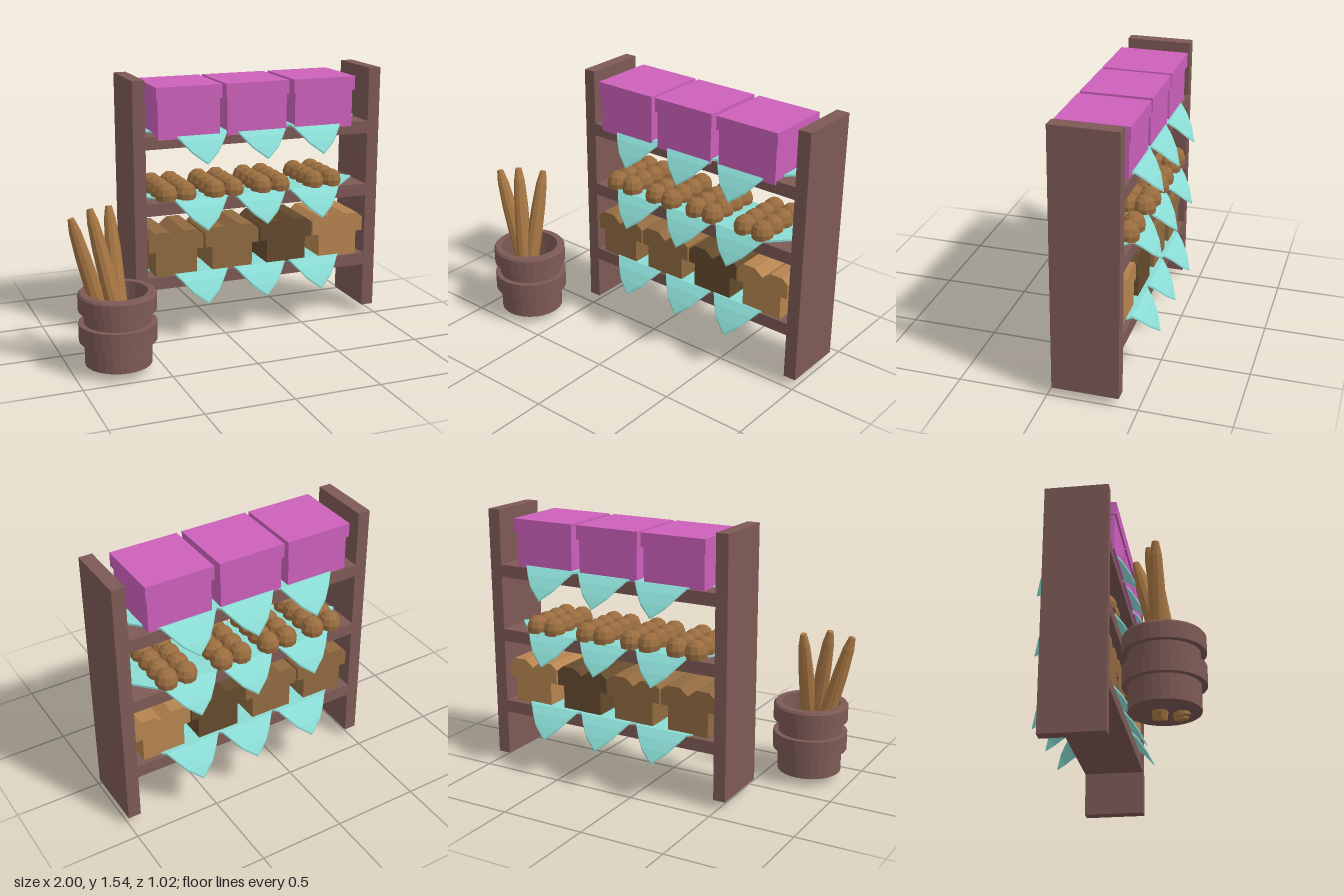
import * as THREE from 'three';

const mat = (color, side = THREE.FrontSide) =>
  new THREE.MeshStandardMaterial({ color, side, flatShading: true });
const WOOD = mat(0x7d5955);
const PINK = mat(0xcc60bb);
const CLOTH = mat(0x8adcd5, THREE.DoubleSide);
const BREAD = mat(0x9a6d3f);
const LOAF = mat(0xa87743);

const MID_Z = -0.21;

function add(parent, name, geometry, material, x = 0, y = 0, z = 0) {
  const mesh = new THREE.Mesh(geometry, material);
  mesh.name = name;
  mesh.position.set(x, y, z);
  parent.add(mesh);
  return mesh;
}

// Box given by its limits on each axis
function addBox(parent, name, material, [x0, x1], [y0, y1], [z0, z1]) {
  return add(parent, name, new THREE.BoxGeometry(x1 - x0, y1 - y0, z1 - z0), material,
    (x0 + x1) / 2, (y0 + y1) / 2, (z0 + z1) / 2);
}

const lathe = (points, segments) =>
  new THREE.LatheGeometry(points.map(([r, y]) => new THREE.Vector2(r, y)), segments);

// Diamond cloth whose front and back corners curve down over the shelf edges;
// rows run from back to front: z offset, drop, half width
function clothGeometry() {
  const half = [[0, 0, 0.335], [0.185, 0, 0.16], [0.225, -0.04, 0.125], [0.265, -0.095, 0.078], [0.3, -0.155, 0]];
  const rows = [...half.slice(1).reverse().map(([z, y, w]) => [-z, y, w]), ...half];
  const positions = [];
  const index = [];
  const t = 0.012;
  rows.forEach(([z, y, w], i) => {
    positions.push(-w, y, z, w, y, z, w, y - t, z, -w, y - t, z);
    if (i === 0) return;
    for (let k = 0; k < 4; k++) {
      const a = (i - 1) * 4 + k, b = (i - 1) * 4 + (k + 1) % 4;
      index.push(a, a + 4, b, b, a + 4, b + 4);
    }
  });
  const g = new THREE.BufferGeometry();
  g.setAttribute('position', new THREE.Float32BufferAttribute(positions, 3));
  g.setIndex(index);
  g.computeVertexNormals();
  return g;
}

// Shirt outline with sleeves and a V neck, extruded through the shelf depth
function shirtGeometry() {
  const right = [[0.125, 0], [0.125, 0.145], [0.167, 0.145], [0.167, 0.23], [0.13, 0.262], [0.052, 0.262]];
  const left = right.map(([x, y]) => [-x, y]).reverse();
  const outline = [...right, [0, 0.22], ...left].map(([x, y]) => new THREE.Vector2(x, y));
  const g = new THREE.ExtrudeGeometry(new THREE.Shape(outline), { depth: 0.335, bevelEnabled: false });
  g.translate(0, 0, -0.1675);
  return g;
}

function createShelfUnit() {
  const unit = new THREE.Group();
  unit.name = 'shelfUnit';
  const depth = [-0.395, -0.025];
  addBox(unit, 'rightPanel', WOOD, [-0.542, -0.47], [0.05, 1.54], depth);
  addBox(unit, 'leftPanel', WOOD, [0.925, 1], [0.05, 1.54], depth);

  const cloth = clothGeometry();
  for (const top of [0.39, 0.833, 1.22]) {
    addBox(unit, 'shelf', WOOD, [-0.47, 0.925], [top - 0.073, top], depth);
    [-0.14, 0.23, 0.583].forEach((x, i) =>
      add(unit, 'cloth', cloth, CLOTH, x, top + 0.009 + i * 0.002, MID_Z));
  }
  return unit;
}

function createGoods() {
  const goods = new THREE.Group();
  goods.name = 'goods';

  // Lidded boxes on the top shelf
  for (const x of [-0.215, 0.2, 0.624]) {
    addBox(goods, 'boxBody', PINK, [x - 0.185, x + 0.185], [1.2, 1.42], [-0.385, -0.012]);
    addBox(goods, 'boxLid', PINK, [x - 0.196, x + 0.196], [1.42, 1.5], [-0.397, 0]);
  }

  // Batches of buns, two across and four deep
  const bun = lathe([[0, 0], [0.06, 0], [0.065, 0.035], [0.052, 0.072], [0.028, 0.093], [0, 0.098]], 10);
  for (const x of [-0.28, 0.015, 0.31, 0.648]) {
    for (const dx of [-0.058, 0.058]) {
      for (let row = 0; row < 4; row++) add(goods, 'bun', bun, BREAD, x + dx, 0.838, -0.07 - row * 0.095);
    }
  }

  // Shirts on the bottom shelf
  const shirt = shirtGeometry();
  const colors = [0x906a40, 0x906a40, 0x644a2d, 0xb68450];
  [-0.293, 0.055, 0.402, 0.745].forEach((x, i) =>
    add(goods, 'shirt', shirt, mat(colors[i]), x, 0.393, -0.2));
  return goods;
}

function createPot() {
  const pot = new THREE.Group();
  pot.name = 'loafPot';
  // Banded pot with a hollow inside
  add(pot, 'pot', lathe([
    [0, 0.05], [0.185, 0.05], [0.185, 0.185], [0.215, 0.185], [0.215, 0.287], [0.185, 0.287],
    [0.185, 0.36], [0.215, 0.36], [0.215, 0.447], [0.205, 0.46], [0.168, 0.46], [0.165, 0.1], [0, 0.1],
  ], 28), WOOD, -0.745, 0, 0.297);

  // Long loaves leaning in the pot: bottom and tip
  const up = new THREE.Vector3(0, 1, 0);
  const loaves = [
    [[-0.745, 0.01, 0.272], [-0.982, 0.882, 0.285]],
    [[-0.7, 0.025, 0.375], [-0.868, 0.913, 0.238]],
    [[-0.73, 0.03, 0.385], [-0.742, 0.9, 0.155]],
  ];
  for (const [from, to] of loaves) {
    const a = new THREE.Vector3(...from);
    const dir = new THREE.Vector3(...to).sub(a);
    const h = dir.length();
    const loaf = add(pot, 'loaf', lathe([
      [0, 0], [0.036, 0], [0.043, 0.05 * h], [0.046, 0.5 * h], [0.042, 0.75 * h],
      [0.032, 0.92 * h], [0.018, h], [0, h],
    ], 10), LOAF, ...from);
    loaf.quaternion.setFromUnitVectors(up, dir.normalize());
  }
  return pot;
}

export function createModel() {
  const model = new THREE.Group();
  model.name = 'marketShelf';
  model.add(createShelfUnit(), createGoods(), createPot());
  return model;
}
